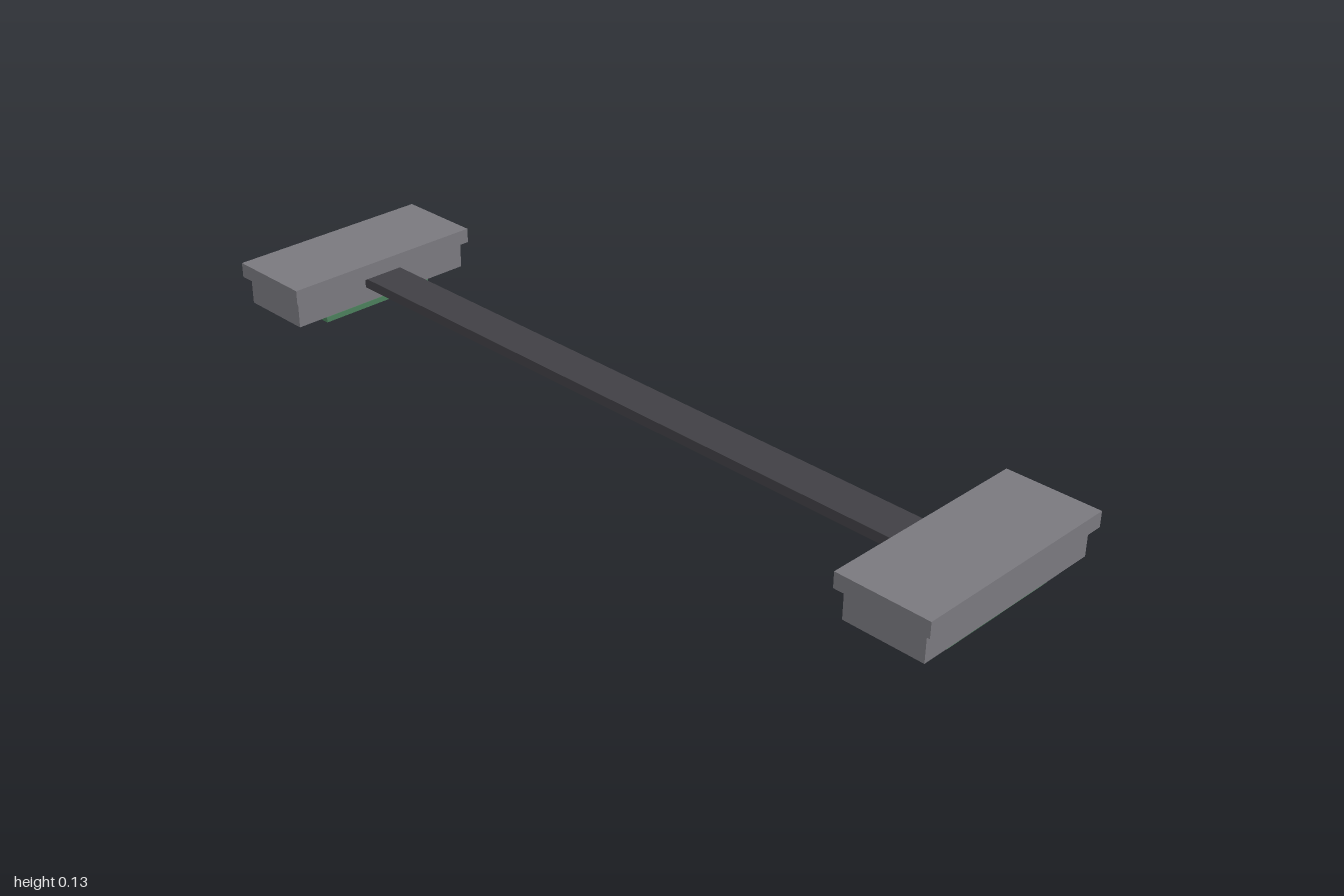
import * as THREE from 'three';

const material = (name, color) => {
  const m = new THREE.MeshStandardMaterial({ color });
  m.name = name;
  return m;
};

export function createModel() {
  const grey = material('casing grey', 0x7a797f);
  const dark = material('dark plastic', 0x414045);
  const green = material('board green', 0x4b7f5b);
  const silver = material('light metal', 0xb2b4b4);

  const model = new THREE.Group();
  model.name = 'linkedSensorPods';

  const add = (parent, name, geometry, mat, x, y, z) => {
    const mesh = new THREE.Mesh(geometry, mat);
    mesh.name = name;
    mesh.position.set(x, y, z);
    parent.add(mesh);
  };

  // box given by its x, y and z ranges
  const box = (parent, name, mat, [x0, x1], [y0, y1], [z0, z1]) =>
    add(parent, name, new THREE.BoxGeometry(x1 - x0, y1 - y0, z1 - z0), mat,
      (x0 + x1) / 2, (y0 + y1) / 2, (z0 + z1) / 2);

  // flat bar joining the two pods
  box(model, 'connectingBar', dark, [-0.81, 0.81], [0.07, 0.093], [-0.048, 0.048]);

  for (const side of [1, -1]) {
    const pod = new THREE.Group();
    pod.name = side > 0 ? 'leftPod' : 'rightPod';
    pod.position.x = side * 0.894;
    model.add(pod);

    // casing with overhanging lid
    box(pod, 'lid', grey, [-0.106, 0.106], [0.097, 0.132], [-0.251, 0.251]);
    box(pod, 'casing', grey, [-0.091, 0.091], [0.032, 0.097], [-0.239, 0.239]);

    // circuit board and the parts mounted on it
    box(pod, 'circuitBoard', green, [-0.072, 0.072], [0.007, 0.02], [-0.15, 0.15]);
    box(pod, 'battery', silver, [-0.045, 0.045], [0.02, 0.032], [-0.15, 0.11]);
    add(pod, 'buzzer', new THREE.CylinderGeometry(0.048, 0.048, 0.0256, 32), dark, 0, 0.0192, 0.143);
    box(pod, 'connector', dark, [-0.035, 0.035], [0, 0.032], [-0.178, -0.107]);
  }

  return model;
}
